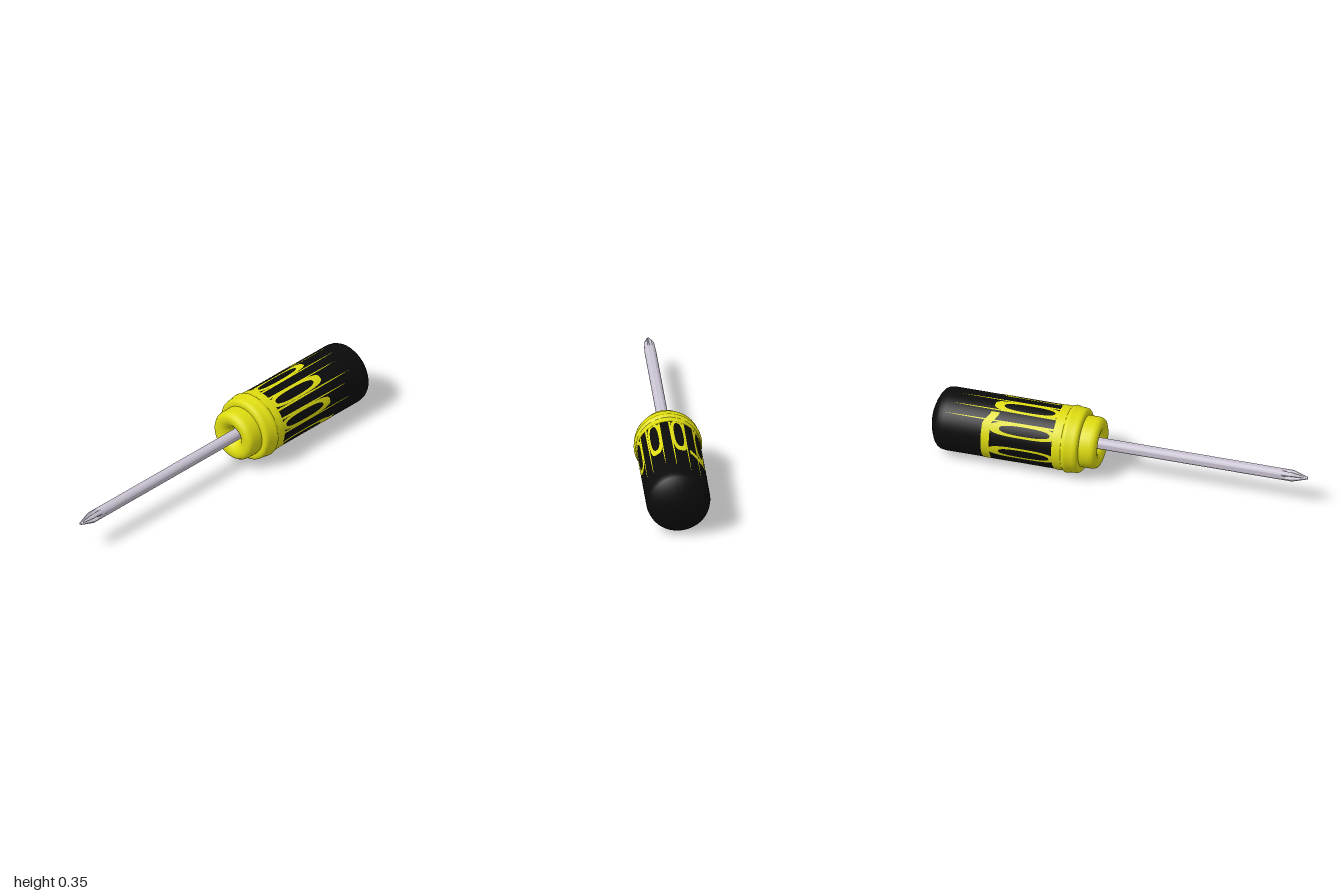
import * as THREE from 'three';
import { toCreasedNormals } from 'three/addons/utils/BufferGeometryUtils.js';

const AXIS_Y = 0.176; // height of the tool's axis
const GRIP_R = 0.165;
const rad = THREE.MathUtils.degToRad;

const yellow = new THREE.MeshStandardMaterial({ color: 0xdedc10 });
const yellowInlay = new THREE.MeshStandardMaterial({ color: 0xdedc10, side: THREE.DoubleSide });
const black = new THREE.MeshStandardMaterial({ color: 0x0b0b0b });
const steel = new THREE.MeshStandardMaterial({ color: 0xcac3d2 });

// Turned part along z from [radius, z] pairs, ordered back to front
function turned(pairs, sides = 72) {
  const geo = new THREE.LatheGeometry(pairs.map(([r, z]) => new THREE.Vector2(r, z)), sides);
  geo.rotateX(Math.PI / 2);
  return toCreasedNormals(geo, 0.7);
}

// Thin skin wrapped on the grip; rule(u, v) gives [angle in degrees, z]
function wrapped(nu, nv, rule) {
  const geo = new THREE.PlaneGeometry(1, 1, nu, nv);
  const pos = geo.attributes.position;
  for (let i = 0; i < pos.count; i++) {
    const [deg, z] = rule(pos.getX(i) + 0.5, pos.getY(i) + 0.5);
    const a = rad(deg), r = GRIP_R + 0.0015;
    pos.setXYZ(i, r * Math.cos(a), r * Math.sin(a), z);
  }
  geo.computeVertexNormals();
  return geo;
}

// Yellow outline around one long oval on the grip
const ovalRing = (centre) => wrapped(56, 3, (u, v) => {
  const t = u * Math.PI * 2, c = Math.cos(t), s = Math.sin(t);
  const soft = (k, p) => Math.sign(k) * Math.pow(Math.abs(k), p);
  const lerp = THREE.MathUtils.lerp;
  return [
    centre + lerp(8.3 * soft(c, 0.8), 12.5 * soft(c, 0.6), v),
    lerp(-0.475 + 0.135 * soft(s, 0.8), -0.485 + 0.175 * soft(s, 0.7), v),
  ];
});

// Tapered yellow sliver running towards the butt
const sliver = (deg, end) => wrapped(2, 12, (u, v) => [
  deg + (u - 0.5) * 4 * Math.pow(1 - v, 0.6),
  THREE.MathUtils.lerp(-0.32, end, v),
]);

// Cross-head tip: a cylinder whose grooves deepen towards the point
function crossTip() {
  const z0 = 0.84, len = 0.16;
  const geo = new THREE.CylinderGeometry(1, 1, len, 32, 16);
  geo.rotateX(Math.PI / 2);
  geo.translate(0, 0, z0 + len / 2);
  const pos = geo.attributes.position;
  for (let i = 0; i < pos.count; i++) {
    const x = pos.getX(i), y = pos.getY(i), z = pos.getZ(i);
    if (Math.hypot(x, y) < 0.5) continue;
    const t = (z - z0) / len, a = Math.atan2(y, x);
    const outer = t < 0.5 ? 0.03 : THREE.MathUtils.lerp(0.03, 0.006, (t - 0.5) * 2);
    const rib = THREE.MathUtils.smoothstep(Math.abs(Math.sin(2 * a)), 0.1, 0.85);
    const depth = 0.6 * THREE.MathUtils.smoothstep(t, 0, 0.5);
    const r = outer * (1 - depth * (1 - rib));
    pos.setXY(i, r * Math.cos(a), r * Math.sin(a));
  }
  return toCreasedNormals(geo, 0.5);
}

export function createModel() {
  const model = new THREE.Group();
  model.name = 'screwdriver';
  const add = (name, geo, mat, parent = model) => {
    const mesh = new THREE.Mesh(geo, mat);
    mesh.name = name;
    parent.add(mesh);
    return mesh;
  };

  // Black grip with domed butt
  add('grip', turned([
    [0, -1], [0.035, -0.998], [0.07, -0.991], [0.105, -0.979], [0.135, -0.964],
    [0.152, -0.95], [0.161, -0.934], [GRIP_R, -0.91], [GRIP_R, -0.3],
  ]), black);

  // Yellow collar: stepped ring, rounded nose and hollow around the shaft
  add('collar', turned([
    [0.155, -0.326], [0.167, -0.324], [0.169, -0.3], [0.167, -0.277], [0.173, -0.271],
    [0.176, -0.262], [0.175, -0.252], [0.171, -0.24], [0.17, -0.215], [0.167, -0.2],
    [0.16, -0.192], [0.15, -0.19], [0.135, -0.19], [0.135, -0.135], [0.132, -0.119],
    [0.124, -0.107], [0.11, -0.101], [0.095, -0.1], [0.078, -0.104], [0.062, -0.113],
    [0.049, -0.127], [0.04, -0.145], [0.034, -0.17], [0.028, -0.18],
  ]), yellow);

  // Yellow inlays: eight ovals, slivers above, band around the underside
  const inlays = new THREE.Group();
  inlays.name = 'gripInlays';
  model.add(inlays);
  for (let i = 0; i < 8; i++) add('ovalInlay', ovalRing(13.5 + 45 * i), yellowInlay, inlays);
  const slivers = [[0, -0.81], [27, -0.8], [44, -0.84], [71, -0.8], [90, -0.85], [115, -0.88], [136, -0.91]];
  for (const [deg, end] of slivers) add('sliverInlay', sliver(deg, end), yellowInlay, inlays);
  add('bandInlay', wrapped(64, 2, (u, v) => {
    const bend = THREE.MathUtils.smoothstep(u, 0, 0.12) * 0.035;
    return [120 + u * 214, -0.645 - bend + (v - 0.5) * 0.045];
  }), yellowInlay, inlays);

  // Steel shaft and tip
  add('shaft', turned([[0.03, -0.2], [0.03, 0.84]], 40), steel);
  add('tip', crossTip(), steel);

  model.position.y = AXIS_Y;
  const root = new THREE.Group();
  root.add(model);
  return root;
}
